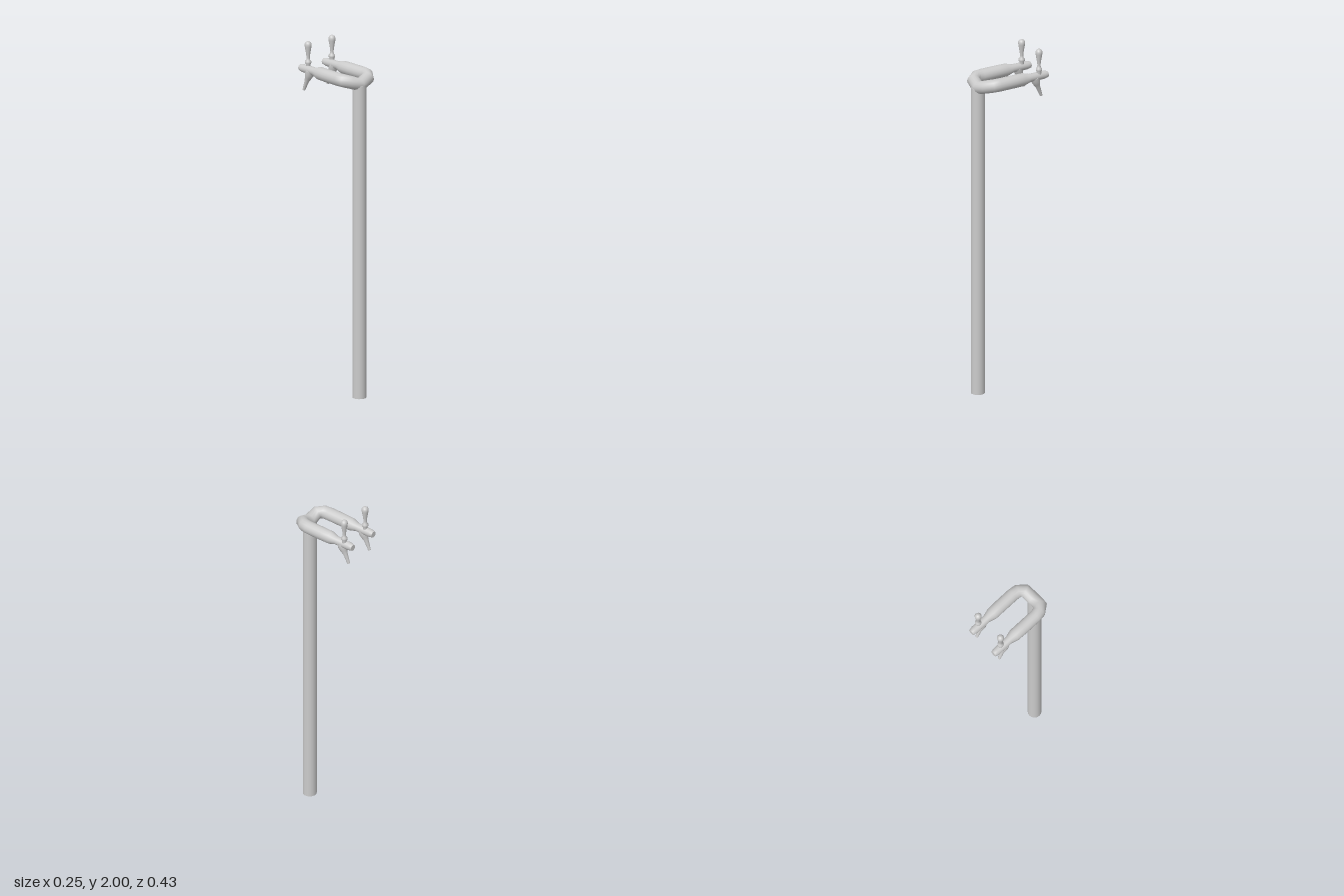
import * as THREE from 'three';

const grey = new THREE.MeshStandardMaterial({ color: 0xcccccc });

function add(parent, name, geometry) {
  const mesh = new THREE.Mesh(geometry, grey);
  mesh.name = name;
  parent.add(mesh);
  return mesh;
}

// Round tube of varying radius through stations [x, y, z, radius], capped at both ends
function sweep(stations, sides, up) {
  const pts = stations.map(([x, y, z]) => new THREE.Vector3(x, y, z));
  const pos = [], index = [], last = pts.length - 1;
  const ring = (i) => {
    const t = pts[Math.min(i + 1, last)].clone().sub(pts[Math.max(i - 1, 0)]).normalize();
    const u = up.clone().cross(t).normalize();
    const v = t.clone().cross(u);
    for (let j = 0; j < sides; j++) {
      const a = (j / sides) * Math.PI * 2;
      const p = pts[i].clone()
        .addScaledVector(u, Math.cos(a) * stations[i][3])
        .addScaledVector(v, Math.sin(a) * stations[i][3]);
      pos.push(p.x, p.y, p.z);
    }
  };
  for (let i = 0; i <= last; i++) ring(i);
  for (let i = 0; i < last; i++) {
    for (let j = 0; j < sides; j++) {
      const k = (j + 1) % sides;
      const a = i * sides + j, b = i * sides + k;
      index.push(a, b, a + sides, b, b + sides, a + sides);
    }
  }
  // Flat end caps on their own vertices so the rims stay sharp
  for (const end of [0, last]) {
    const base = pos.length / 3;
    ring(end);
    pos.push(...pts[end].toArray());
    for (let j = 0; j < sides; j++) {
      const a = base + j, b = base + ((j + 1) % sides);
      if (end) index.push(a, b, base + sides);
      else index.push(b, a, base + sides);
    }
  }
  const g = new THREE.BufferGeometry();
  g.setAttribute('position', new THREE.Float32BufferAttribute(pos, 3));
  g.setIndex(index);
  g.computeVertexNormals();
  return g;
}

export function createModel() {
  const model = new THREE.Group();
  model.name = 'twinTapStand';

  // Upright post
  add(model, 'post', new THREE.CylinderGeometry(0.039, 0.039, 1.81, 16))
    .position.set(-0.007, 0.905, 0.177);

  // U-shaped pipe: one arm from the tip forward to the dipped middle, then mirrored
  const arm = [
    [0.088, 1.838, -0.218, 0.018],
    [0.088, 1.838, -0.195, 0.023],
    [0.088, 1.838, -0.1, 0.024],
    [0.088, 1.838, -0.06, 0.036],
    [0.089, 1.838, 0, 0.037],
    [0.089, 1.838, 0.1, 0.037],
    [0.085, 1.838, 0.135, 0.037],
    [0.0625, 1.832, 0.169, 0.037],
  ];
  const mirrored = arm.map(([x, y, z, r]) => [-x, y, z, r]).reverse();
  add(model, 'forkedPipe',
    sweep([...arm, [-0.003, 1.807, 0.176, 0.038], ...mirrored], 16, new THREE.Vector3(0, 1, 0)));

  // Handle profile: stem, collar, slim waist, swelling grip and rounded top
  const handle = [
    [0.013, 1.84], [0.013, 1.868], [0.018, 1.874], [0.018, 1.885], [0.011, 1.892],
    [0.009, 1.905], [0.012, 1.93], [0.019, 1.97], [0.02, 1.982], [0.016, 1.993],
    [0.008, 1.999], [0, 2],
  ].map(([r, y]) => new THREE.Vector2(r, y));

  for (const [side, x] of [['left', 0.088], ['right', -0.09]]) {
    const tap = new THREE.Group();
    tap.name = side + 'Tap';
    tap.position.x = x;
    model.add(tap);
    add(tap, 'handle', new THREE.LatheGeometry(handle, 16)).position.set(0.006, 0, -0.16);
    // Spout tapering down and back
    add(tap, 'spout', sweep([
      [0, 1.835, -0.135, 0.026],
      [-0.001, 1.815, -0.142, 0.026],
      [-0.002, 1.795, -0.15, 0.02],
      [-0.004, 1.772, -0.16, 0.013],
      [-0.006, 1.717, -0.182, 0.008],
    ], 12, new THREE.Vector3(0, 0, 1)));
  }
  return model;
}
